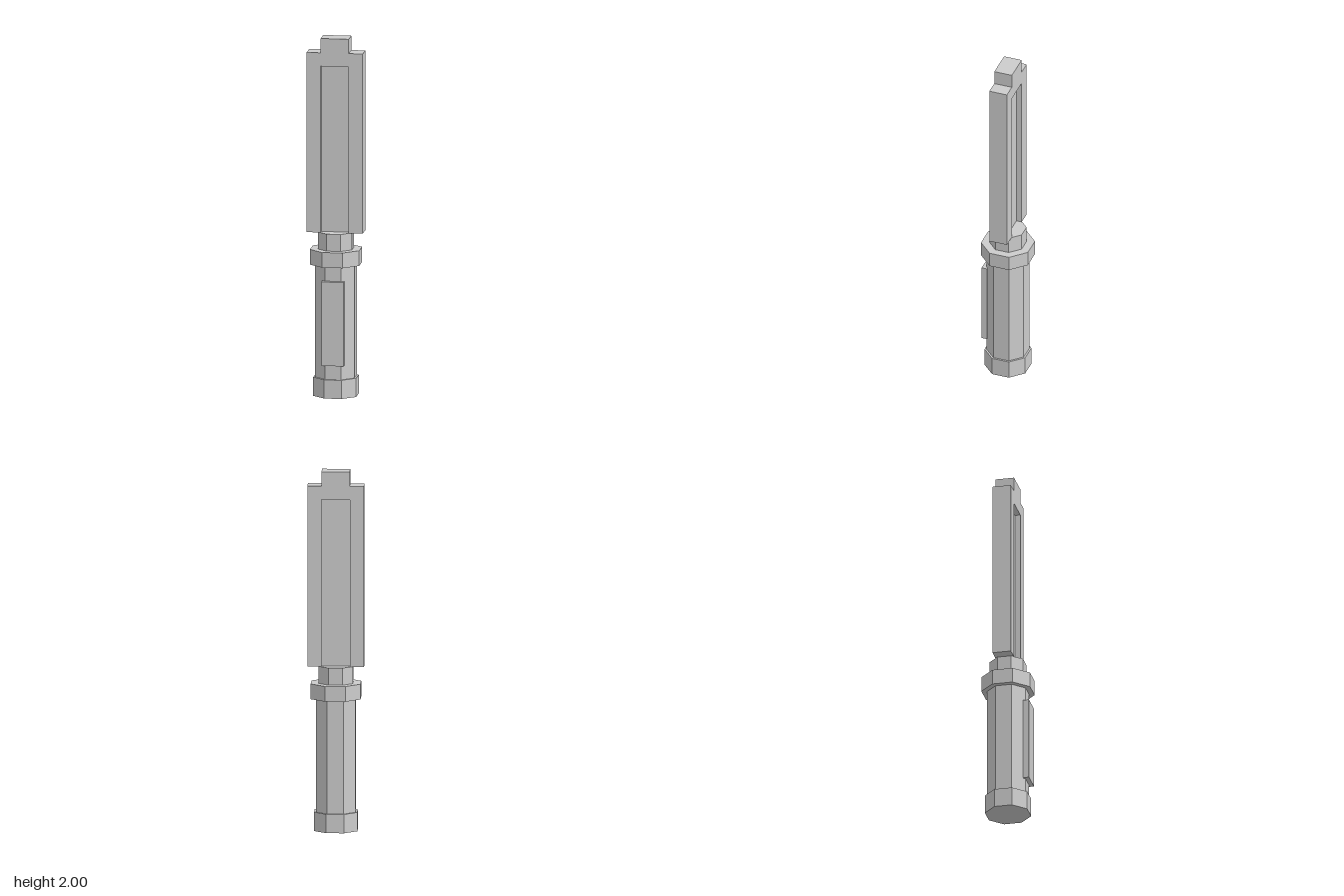
import * as THREE from 'three';

const steel = new THREE.MeshStandardMaterial({ color: 0xcccccc });
steel.name = 'lightGrey';

function part(name, geometry, x = 0, y = 0, z = 0) {
  const mesh = new THREE.Mesh(geometry, steel);
  mesh.name = name;
  mesh.position.set(x, y, z);
  return mesh;
}

// Upright eight-sided prism with flats facing the axes
function octagon(name, apothem, y0, y1) {
  const r = apothem / Math.cos(Math.PI / 8);
  const g = new THREE.CylinderGeometry(r, r, y1 - y0, 8).rotateY(Math.PI / 8).toNonIndexed();
  g.computeVertexNormals();
  return part(name, g, 0, (y0 + y1) / 2, 0);
}

export function createModel() {
  const model = new THREE.Group();
  model.name = 'dagger';

  // Handle, from the bottom up
  model.add(
    octagon('pommel', 0.119, 0, 0.105),
    octagon('grip', 0.109, 0.105, 0.735),
    octagon('collar', 0.137, 0.735, 0.82),
    octagon('neck', 0.094, 0.82, 0.915),
  );

  // Raised plate on the front of the grip
  model.add(part('gripPlate', new THREE.BoxGeometry(0.124, 0.47, 0.032), 0, 0.42, 0.116));

  // Blade: stepped frame around a groove that is open at the bottom
  const base = 0.915, shoulder = 1.92, grooveTop = 1.845;
  const wide = 0.156, narrow = 0.078, thick = 0.103;
  const right = [[narrow, grooveTop], [narrow, base], [wide, base], [wide, shoulder], [narrow, shoulder], [narrow, 2]];
  const left = right.map(([x, y]) => [-x, y]).reverse();
  const outline = [...right, ...left].map(([x, y]) => new THREE.Vector2(x, y));
  const frame = new THREE.ExtrudeGeometry(new THREE.Shape(outline), { depth: thick, bevelEnabled: false });
  model.add(part('bladeFrame', frame, 0, 0, -thick / 2));

  // Thin core recessed on both faces
  const core = new THREE.BoxGeometry(narrow * 2, grooveTop - base, 0.041);
  model.add(part('bladeCore', core, 0, (grooveTop + base) / 2, 0));

  return model;
}
